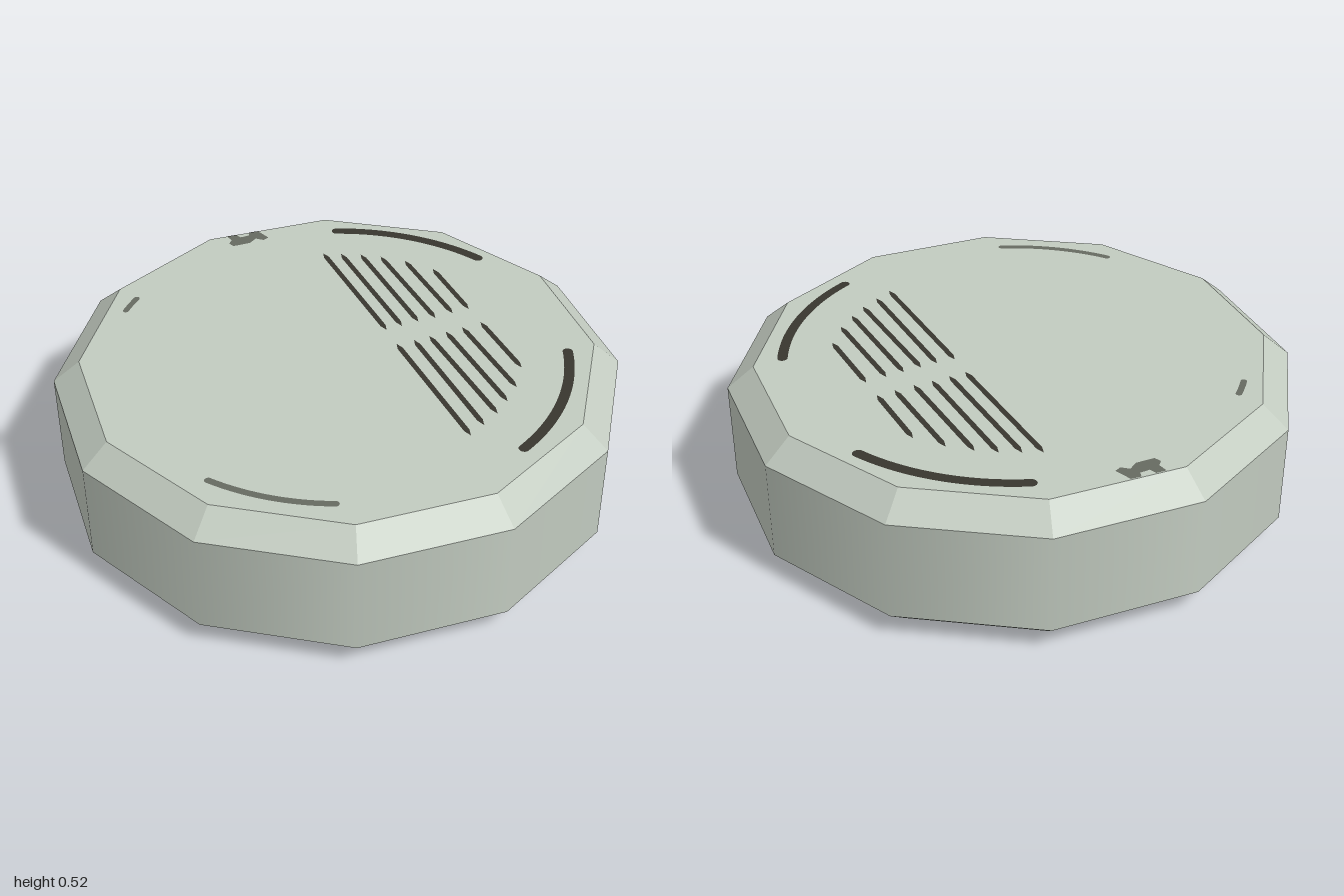
import * as THREE from 'three';

const HEIGHT = 0.52, BEVEL = 0.08, RIM = 0.905, SIDES = 12;

// Flat plate lying face up; shapes are drawn with y = -z
function plate(name, shape, material) {
  const geometry = new THREE.ShapeGeometry(shape, 24).rotateX(-Math.PI / 2);
  const mesh = new THREE.Mesh(geometry, material);
  mesh.name = name;
  mesh.position.y = HEIGHT / 2 + 0.002;
  return mesh;
}

const polygon = (points) => new THREE.Shape(points.map(([x, z]) => new THREE.Vector2(x, -z)));

// Round-ended arc band; degrees run from +x towards +z
function arcBand(fromDeg, toDeg, radius, width) {
  const a = -THREE.MathUtils.degToRad(toDeg), b = -THREE.MathUtils.degToRad(fromDeg);
  const w = width / 2, shape = new THREE.Shape();
  shape.absarc(0, 0, radius + w, a, b, false);
  shape.absarc(radius * Math.cos(b), radius * Math.sin(b), w, b, b + Math.PI, false);
  shape.absarc(0, 0, radius - w, b, a, true);
  shape.absarc(radius * Math.cos(a), radius * Math.sin(a), w, a + Math.PI, a + 2 * Math.PI, false);
  return shape;
}

// Thin stroke with pointed ends
function stroke(x0, z0, x1, z1, width) {
  const length = Math.hypot(x1 - x0, z1 - z0);
  const dx = (x1 - x0) / length, dz = (z1 - z0) / length;
  const at = (t, s) => [x0 + dx * t - dz * s, z0 + dz * t + dx * s];
  const w = width / 2, tip = 0.03;
  return polygon([at(0, 0), at(tip, w), at(length - tip, w),
    at(length, 0), at(length - tip, -w), at(tip, -w)]);
}

// All the marks of one face
function faceMarks(dark, faded) {
  const group = new THREE.Group();

  // Curved marks near the rim
  group.add(plate('rimArc', arcBand(-57, -16, 0.815, 0.04), dark));
  group.add(plate('rimArc', arcBand(33, 75, 0.805, 0.036), dark));
  group.add(plate('fadedRimArc', arcBand(124, 154, 0.808, 0.026), faded));
  group.add(plate('fadedRimArc', arcBand(-128, -122, 0.815, 0.022), faded));

  // Two rows of slanted slots: top end and bottom end as x, z
  const slots = [
    [0.31, -0.575, 0.22, -0.02], [0.365, -0.535, 0.28, -0.01], [0.425, -0.49, 0.345, 0],
    [0.48, -0.435, 0.41, 0.015], [0.54, -0.36, 0.48, 0.025], [0.595, -0.255, 0.545, 0.035],
    [0.2, 0.07, 0.105, 0.63], [0.265, 0.085, 0.175, 0.61], [0.325, 0.095, 0.25, 0.585],
    [0.39, 0.105, 0.32, 0.55], [0.455, 0.115, 0.395, 0.505], [0.53, 0.125, 0.48, 0.425],
  ];
  for (const slot of slots) group.add(plate('slot', stroke(...slot, 0.02), dark));

  // Notched patch at the rim
  group.add(plate('rimPatch', polygon([
    [0.065, -0.885], [0.1, -0.876], [0.105, -0.85], [0.14, -0.845], [0.15, -0.863],
    [0.185, -0.853], [0.195, -0.79], [0.17, -0.785], [0.15, -0.81], [0.115, -0.795],
    [0.05, -0.81], [0.045, -0.835], [0.065, -0.85],
  ]), faded));
  return group;
}

export function createModel() {
  const body = new THREE.MeshStandardMaterial({ color: 0xc2cbc0 });
  body.name = 'paleGreyGreen';
  const dark = new THREE.MeshStandardMaterial({ color: 0x38362f });
  dark.name = 'darkMark';
  const faded = new THREE.MeshStandardMaterial({ color: 0x666a61 });
  faded.name = 'fadedMark';

  const model = new THREE.Group();
  model.name = 'disc';
  const add = (name, geometry, y) => {
    const mesh = new THREE.Mesh(geometry, body);
    mesh.name = name;
    mesh.position.y = y;
    model.add(mesh);
  };

  // Smooth side wall
  add('sideWall', new THREE.CylinderGeometry(1, 1, HEIGHT - 2 * BEVEL, SIDES, 1, true), HEIGHT / 2);

  // Faceted bevels
  const bevel = (top, bottom) => {
    const geometry = new THREE.CylinderGeometry(top, bottom, BEVEL, SIDES, 1, true).toNonIndexed();
    geometry.computeVertexNormals();
    return geometry;
  };
  add('topBevel', bevel(RIM, 1), HEIGHT - BEVEL / 2);
  add('bottomBevel', bevel(1, RIM), BEVEL / 2);

  // Flat faces
  add('topFace', new THREE.CircleGeometry(RIM, SIDES).rotateX(-Math.PI / 2), HEIGHT);
  add('bottomFace', new THREE.CircleGeometry(RIM, SIDES).rotateX(Math.PI / 2), 0);

  // Marks on the top, and the same marks turned over for the bottom
  const topMarks = faceMarks(dark, faded);
  topMarks.name = 'topMarks';
  const bottomMarks = faceMarks(dark, faded);
  bottomMarks.name = 'bottomMarks';
  const turn = THREE.MathUtils.degToRad(27.5);
  bottomMarks.quaternion.setFromAxisAngle(
    new THREE.Vector3(Math.cos(turn), 0, Math.sin(turn)), Math.PI);
  for (const marks of [topMarks, bottomMarks]) {
    marks.position.y = HEIGHT / 2;
    model.add(marks);
  }
  return model;
}
